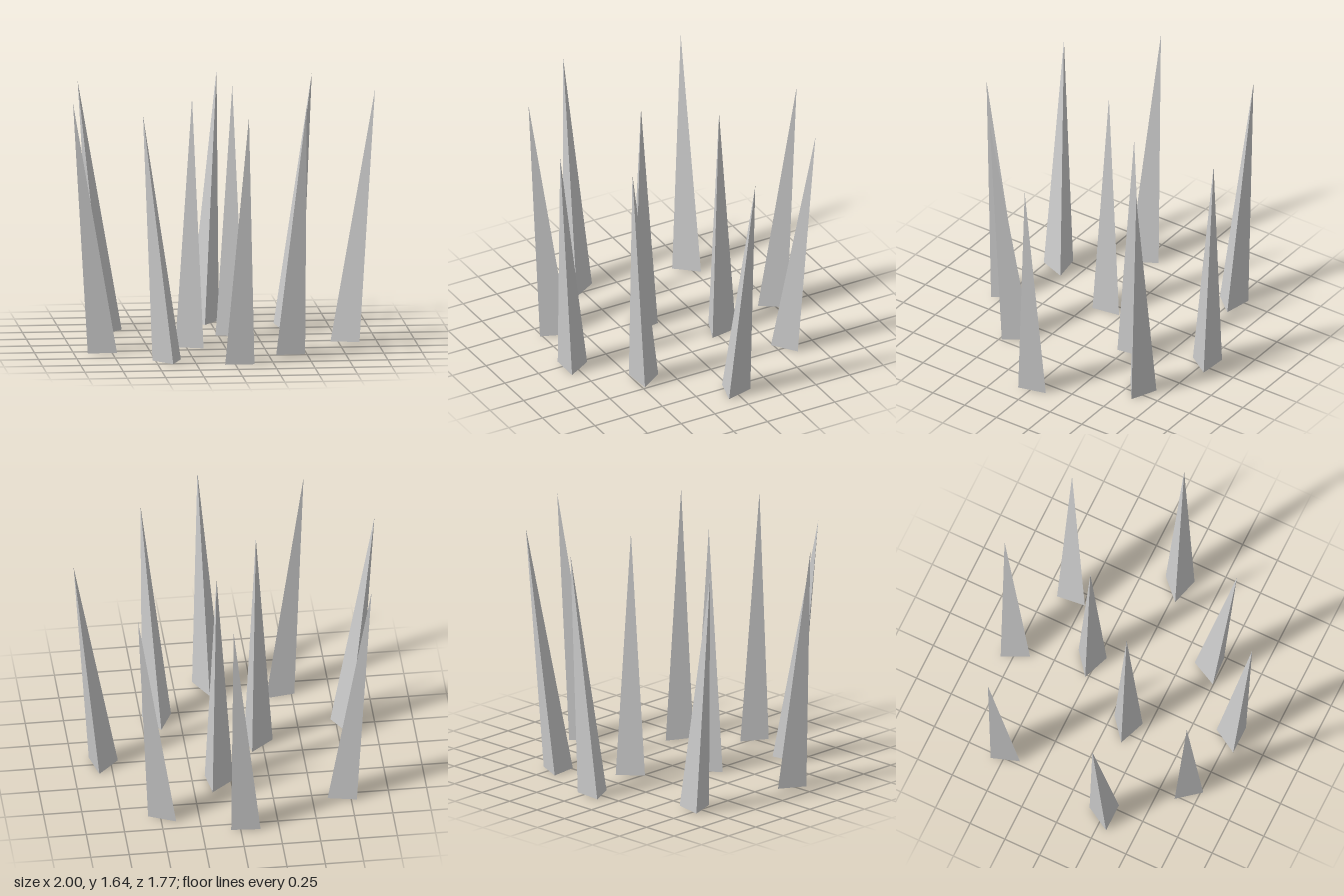
import * as THREE from 'three';

const HEIGHT = 1.64;
const RADIUS = 0.11;

// Base centre x, z; turn in degrees; tip x, z
const SPIKES = [
  // upright inner pair
  [0.093, -0.287, 39, 0.095, -0.287],
  [-0.213, 0.12, 39, -0.21, 0.122],
  // outer ring, leaning outwards
  [-0.037, -0.763, -4, 0.055, -0.885],
  [0.47, -0.588, -23.5, 0.655, -0.69],
  [0.808, 0.002, 44.5, 1.0, -0.05],
  [0.39, 0.435, -56, 0.49, 0.577],
  [0.028, 0.765, 60, 0.081, 0.885],
  [-0.417, 0.657, 9, -0.595, 0.742],
  [-0.814, 0.258, 60, -1.0, 0.258],
  [-0.703, -0.505, -11, -0.885, -0.55],
];

// Three-sided cone with a level base, sheared so its tip leans
function spikeGeometry(turn, leanX, leanZ) {
  const geo = new THREE.ConeGeometry(RADIUS, HEIGHT, 3, 1).toNonIndexed();
  geo.rotateY(THREE.MathUtils.degToRad(turn));
  geo.translate(0, HEIGHT / 2, 0);
  const pos = geo.attributes.position;
  for (let i = 0; i < pos.count; i++) {
    const t = pos.getY(i) / HEIGHT;
    pos.setX(i, pos.getX(i) + leanX * t);
    pos.setZ(i, pos.getZ(i) + leanZ * t);
  }
  geo.computeVertexNormals();
  return geo;
}

export function createModel() {
  const group = new THREE.Group();
  group.name = 'spikes';
  const material = new THREE.MeshStandardMaterial({ color: 0xcccccc, flatShading: true });

  SPIKES.forEach(([x, z, turn, tipX, tipZ], i) => {
    const spike = new THREE.Mesh(spikeGeometry(turn, tipX - x, tipZ - z), material);
    spike.name = (i < 2 ? 'innerSpike' : 'outerSpike') + (i + 1);
    spike.position.set(x, 0, z);
    group.add(spike);
  });
  return group;
}
